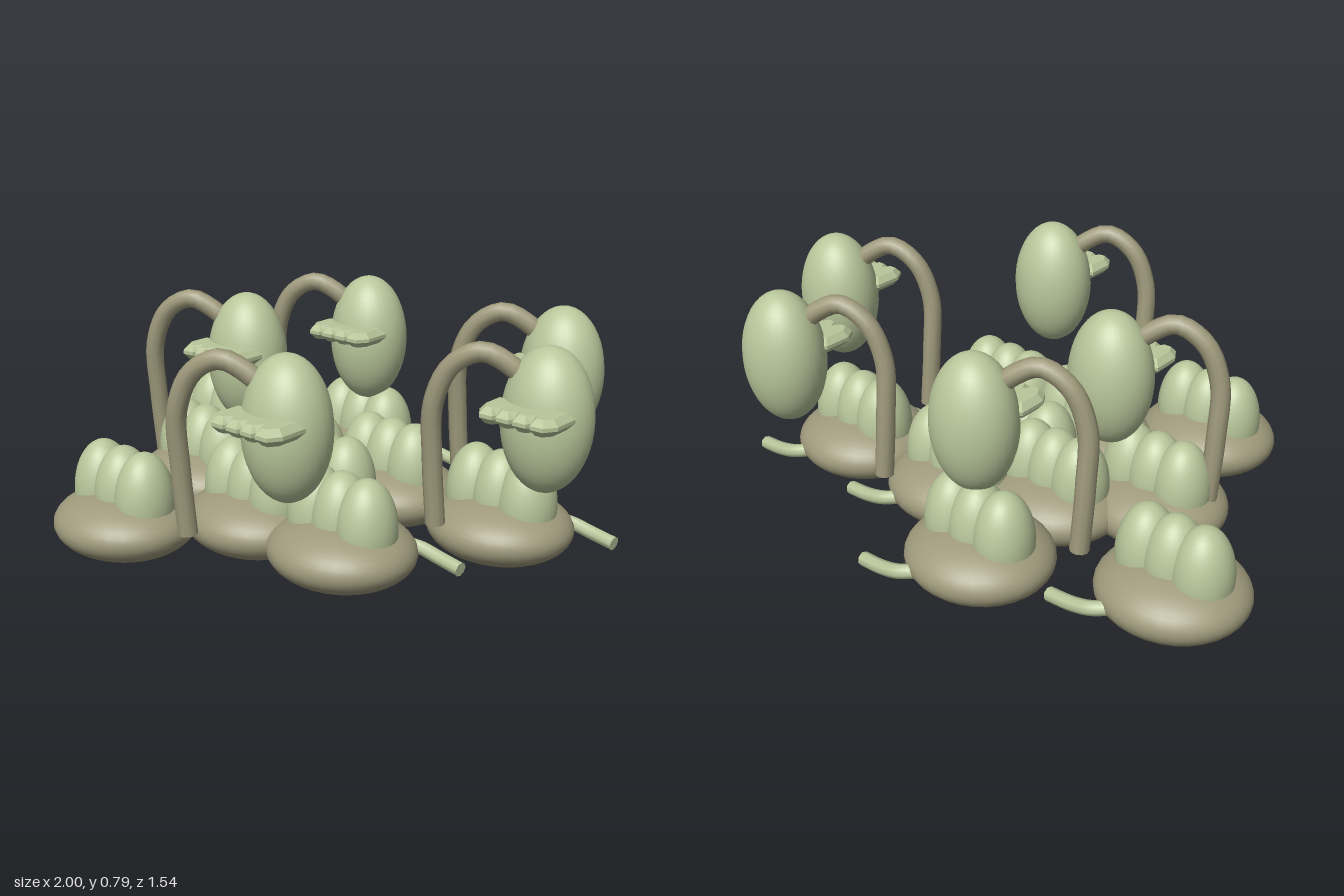
import * as THREE from 'three';

export function createModel() {
  const model = new THREE.Group();
  const moss = new THREE.MeshStandardMaterial({ color: 0xb9c79b });
  moss.name = 'paleGreen';
  const bark = new THREE.MeshStandardMaterial({ color: 0x9f9a7c });
  bark.name = 'oliveBrown';

  const ball = new THREE.SphereGeometry(1, 32, 24);

  function add(parent, name, geometry, material) {
    const mesh = new THREE.Mesh(geometry, material);
    mesh.name = name;
    parent.add(mesh);
    return mesh;
  }

  function ellipsoid(parent, name, material, position, radii) {
    const mesh = add(parent, name, ball, material);
    mesh.position.set(...position);
    mesh.scale.set(...radii);
  }

  // Round tube along a smooth path, closed by a disc at each end
  function cappedTube(parent, name, points, radius, sides, material) {
    const curve = new THREE.CatmullRomCurve3(points.map(p => new THREE.Vector3(...p)));
    const group = new THREE.Group();
    group.name = name;
    parent.add(group);
    add(group, name + 'Tube', new THREE.TubeGeometry(curve, 28, radius, sides), material);
    for (const [t, sign] of [[0, -1], [1, 1]]) {
      const cap = add(group, name + 'Cap', new THREE.CircleGeometry(radius, sides), material);
      cap.position.copy(curve.getPointAt(t));
      cap.quaternion.setFromUnitVectors(
        new THREE.Vector3(0, 0, 1), curve.getTangentAt(t).multiplyScalar(sign));
    }
  }

  // Scalloped lip: bevelled plate with four blunt teeth towards the front
  const outline = new THREE.Shape();
  outline.moveTo(-0.115, 0.085);
  outline.lineTo(0.115, 0.085);
  const tooth = 0.0575;
  for (let i = 0; i < 4; i++) {
    const x = 0.115 - i * tooth;
    outline.lineTo(x, 0.158);
    outline.lineTo(x - tooth * 0.3, 0.186);
    outline.lineTo(x - tooth * 0.7, 0.186);
  }
  outline.lineTo(-0.115, 0.158);
  outline.closePath();
  const lipGeometry = new THREE.ExtrudeGeometry(outline, {
    depth: 0.012, bevelEnabled: true, bevelThickness: 0.02, bevelSize: 0.018, bevelSegments: 1,
  });
  lipGeometry.rotateX(Math.PI / 2);
  lipGeometry.translate(0, 0.615, 0);

  // Mounds: flattened base, three lobes on top, a small root at the back
  const mounds = [
    [-0.754, -0.305], [-0.185, -0.535], [0.615, -0.255], [-0.44, 0.053], [0.15, -0.27],
    [-0.17, -0.14], [0.062, -0.015], [-0.02, 0.235], [0.355, 0.24], [-0.33, 0.535],
  ];
  for (const [x, z] of mounds) {
    const mound = new THREE.Group();
    mound.name = 'mound';
    mound.position.set(x, 0, z);
    model.add(mound);
    ellipsoid(mound, 'base', bark, [0, 0.12, 0], [0.247, 0.112, 0.23]);
    for (const dx of [-0.1, 0, 0.1])
      ellipsoid(mound, 'lobe', moss, [dx, 0.21, 0], [0.096, 0.17, 0.102]);
    cappedTube(mound, 'root', [
      [0.05, 0.115, -0.13], [0.1, 0.108, -0.185], [0.15, 0.098, -0.212],
      [0.22, 0.083, -0.215], [0.31, 0.071, -0.208],
    ], 0.024, 8, moss);
  }

  // Hanging heads: arched stalk, egg-shaped head, lip at the front
  const heads = [
    [0.623, -0.577], [-0.152, -0.51], [-0.297, -0.02], [0.85, -0.12], [0.323, 0.455],
  ];
  for (const [x, z] of heads) {
    const plant = new THREE.Group();
    plant.name = 'hangingPlant';
    plant.position.set(x, 0, z);
    model.add(plant);
    cappedTube(plant, 'stalk', [
      [-0.315, 0.18, 0.115], [-0.322, 0.4, 0.132], [-0.313, 0.59, 0.148],
      [-0.262, 0.715, 0.132], [-0.175, 0.768, 0.1], [-0.105, 0.735, 0.062], [-0.05, 0.68, 0.03],
    ], 0.032, 10, bark);
    ellipsoid(plant, 'head', moss, [0, 0.568, 0], [0.144, 0.229, 0.132]);
    add(plant, 'lip', lipGeometry, moss);
  }
  return model;
}
